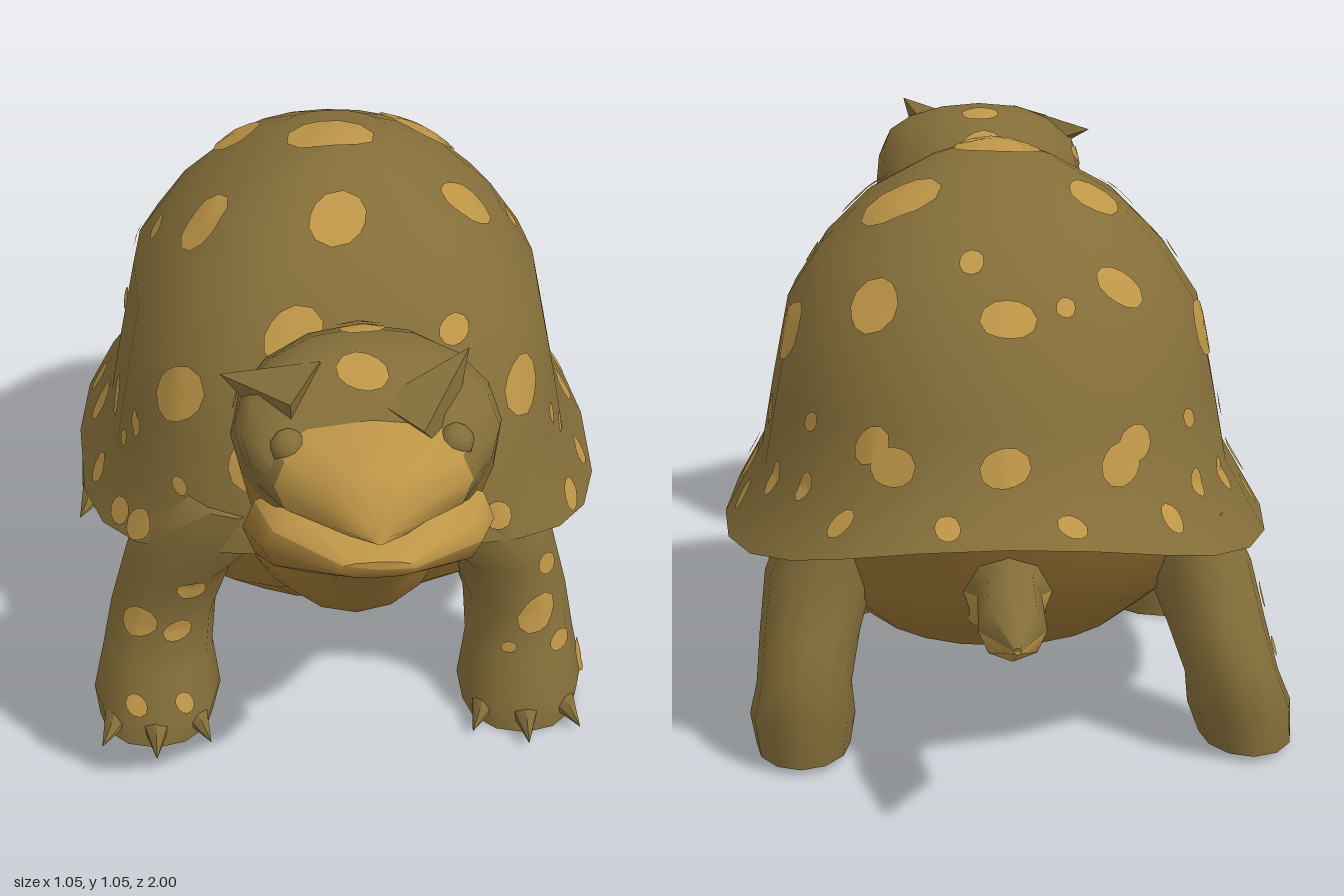
import * as THREE from 'three';
import { mergeGeometries, toCreasedNormals } from 'three/addons/utils/BufferGeometryUtils.js';

const mat = (name, color) => {
  const m = new THREE.MeshStandardMaterial({ color });
  m.name = name;
  return m;
};
const V = (x, y, z) => new THREE.Vector3(x, y, z);
const bend = (v, e) => Math.sign(v) * Math.abs(v) ** e;

export function createModel() {
  const model = new THREE.Group();
  model.name = 'tortoise';
  const olive = mat('olive', 0x846e39);
  const gold = mat('gold', 0xbd9547);
  const tan = mat('underside tan', 0x9a7534);
  const mats = [olive, gold, tan];

  // Skin a list of closed rings; pick(i, j) gives the material index of each quad
  function skin(name, rows, pick = () => 0, capStart = true, capEnd = true, crease = 1.1) {
    const n = rows[0].length, pos = [], buckets = [[], [], []];
    rows.forEach(r => r.forEach(p => pos.push(p.x, p.y, p.z)));
    const id = (i, j) => i * n + (j % n);
    for (let i = 0; i < rows.length - 1; i++) for (let j = 0; j < n; j++) {
      buckets[pick(i, j)].push(id(i, j), id(i + 1, j), id(i, j + 1),
        id(i + 1, j), id(i + 1, j + 1), id(i, j + 1));
    }
    const cap = (i, end) => {
      const c = rows[i].reduce((s, p) => s.add(p), V(0, 0, 0)).divideScalar(n);
      const k = pos.length / 3;
      pos.push(c.x, c.y, c.z);
      for (let j = 0; j < n; j++) {
        const q = buckets[pick(end ? i - 1 : i, j)];
        if (end) q.push(k, id(i, j + 1), id(i, j));
        else q.push(k, id(i, j), id(i, j + 1));
      }
    };
    if (capStart) cap(0, false);
    if (capEnd) cap(rows.length - 1, true);
    const g = new THREE.BufferGeometry();
    g.setAttribute('position', new THREE.Float32BufferAttribute(pos, 3));
    g.setIndex(buckets.flat());
    let start = 0;
    buckets.forEach((b, i) => {
      if (b.length) g.addGroup(start, b.length, i);
      start += b.length;
    });
    const mesh = new THREE.Mesh(toCreasedNormals(g, crease), mats);
    mesh.name = name;
    model.add(mesh);
    return mesh;
  }

  // Oval ring spanning a front point (z, y) and a back point (z, y); e below 1 squares it
  const oval = ([x, hw, zA, yA, zB, yB], n = 12, e = 1) => Array.from({ length: n }, (_, j) => {
    const a = j / n * Math.PI * 2, c = bend(Math.cos(a), e), s = bend(Math.sin(a), e);
    return V(x + hw * c, (yA + yB) / 2 + s * (yA - yB) / 2, (zA + zB) / 2 + s * (zA - zB) / 2);
  });

  // Shell outline: squarer at the front, rounder behind, lifted at both ends
  const outline = ([y, hw, zf, zb, lift]) => Array.from({ length: 24 }, (_, j) => {
    const a = j / 24 * Math.PI * 2, e = Math.sin(a) > 0 ? 0.74 : 0.94;
    const x = bend(Math.cos(a), e), w = bend(Math.sin(a), e);
    return V(0.01 + hw * x, y + lift * Math.abs(w) ** 3, (zf + zb) / 2 + w * (zf - zb) / 2);
  });

  // Spots: small discs laid on a surface, aimed along a view axis
  const aim = { right: (a, b) => [V(3, b, a), V(-1, 0, 0)], left: (a, b) => [V(-3, b, a), V(1, 0, 0)],
    top: (a, b) => [V(a, 3, b), V(0, -1, 0)], front: (a, b) => [V(a, b, 3), V(0, 0, -1)],
    back: (a, b) => [V(a, b, -3), V(0, 0, 1)] };
  function spots(name, target, side, list) {
    const ray = new THREE.Raycaster(), parts = [], n = 12;
    const cast = (o, d) => { ray.set(o, d); return ray.intersectObject(target)[0]; };
    list.forEach(([a, b, r], k) => {
      const hit = cast(...aim[side](a, b));
      if (!hit) return;
      const nrm = hit.face.normal.clone();
      const t = V(0, 1, 0.3).cross(nrm).normalize(), u = nrm.clone().cross(t);
      const pos = [], idx = [];
      const put = q => {
        const h = cast(q.clone().addScaledVector(nrm, 0.1), nrm.clone().negate());
        const p = (h && h.distance < 0.2 ? h.point : q).clone().addScaledVector(nrm, 0.006);
        pos.push(p.x, p.y, p.z);
      };
      put(hit.point);
      for (const f of [0.5, 1]) for (let j = 0; j < n; j++) {
        const w = j / n * Math.PI * 2, rr = r * f * (1 + 0.13 * Math.sin(2 * w + k));
        put(hit.point.clone().addScaledVector(t, rr * Math.cos(w)).addScaledVector(u, rr * Math.sin(w)));
      }
      for (let j = 0; j < n; j++) {
        const j1 = (j + 1) % n, A = 1 + j, B = 1 + j1, C = A + n, D = B + n;
        idx.push(0, A, B, A, C, D, A, D, B);
      }
      const g = new THREE.BufferGeometry();
      g.setAttribute('position', new THREE.Float32BufferAttribute(pos, 3));
      g.setIndex(idx);
      g.computeVertexNormals();
      parts.push(g);
    });
    if (!parts.length) return;
    const mesh = new THREE.Mesh(mergeGeometries(parts), gold);
    mesh.name = name;
    model.add(mesh);
  }

  // Shell dome, its turned-under lip and the belly
  const rim = [0.36, 0.515, 0.48, -0.77, 0.11];
  const shell = skin('shell', [rim, [0.48, 0.445, 0.475, -0.675, 0.06], [0.62, 0.42, 0.445, -0.635, 0.01],
    [0.77, 0.39, 0.375, -0.57, 0], [0.87, 0.325, 0.3, -0.475, 0], [0.955, 0.24, 0.215, -0.375, 0],
    [1.025, 0.12, 0.07, -0.22, 0], [1.052, 0.03, 0.01, -0.06, 0]].map(outline), undefined, false, true, 1.3);
  skin('shellLip', [[0.37, 0.42, 0.42, -0.68, 0.09], rim].map(outline), (i, j) => (j % 5 < 2 ? 1 : 2), false, false);
  skin('belly', [[0.168, 0.12, 0.12, -0.32, 0], [0.195, 0.26, 0.24, -0.47, 0], [0.29, 0.37, 0.37, -0.62, 0.02],
    [0.4, 0.43, 0.43, -0.69, 0.08]].map(outline), () => 2, true, false, 1.4);

  const flank = [[-0.07, 0.705, 0.025], [-0.25, 0.735, 0.06],
    [-0.085, 0.85, 0.025], [-0.23, 0.58, 0.03], [0.04, 0.55, 0.04], [0.22, 0.59, 0.02], [0.16, 0.53, 0.018],
    [0.26, 0.43, 0.03], [0.1, 0.425, 0.03], [-0.11, 0.45, 0.04], [-0.25, 0.42, 0.03],
    [-0.36, 0.48, 0.03], [-0.475, 0.5, 0.025], [-0.57, 0.6, 0.035], [-0.44, 0.61, 0.02]];
  spots('shellSpotsRight', shell, 'right', flank);
  spots('shellSpotsLeft', shell, 'left', flank);
  spots('shellSpotsTop', shell, 'top', [[-0.17, -0.22, 0.058], [0.185, -0.235, 0.075], [0, -0.06, 0.075],
    [-0.24, 0.06, 0.058], [0.25, 0.04, 0.058], [0, 0.16, 0.058], [-0.09, 0.32, 0.055], [0.2, 0.3, 0.03],
    [0, -0.53, 0.045], [-0.2, -0.42, 0.045], [0.23, -0.44, 0.055], [0.06, -0.44, 0.025], [-0.1, -0.5, 0.02]]);
  spots('shellSpotsFront', shell, 'front', [[-0.3, 0.705, 0.058], [0.33, 0.695, 0.055],
    [-0.3, 0.55, 0.018], [0.275, 0.5, 0.03], [-0.38, 0.595, 0.018], [-0.17, 0.63, 0.05], [-0.38, 0.44, 0.035]]);
  spots('shellSpotsBack', shell, 'back', [[-0.19, 0.57, 0.04], [0.01, 0.58, 0.04], [0.2, 0.57, 0.04],
    [-0.1, 0.49, 0.025], [0.11, 0.49, 0.025], [-0.28, 0.47, 0.028], [0.29, 0.47, 0.028]]);

  // Neck and skull: each ring runs from throat to nape
  const head = skin('neckAndHead', [[0.2, 0.4, 0.3, 0.24, 0.58], [0.165, 0.53, 0.37, 0.36, 0.63],
    [0.13, 0.62, 0.46, 0.43, 0.63], [0.12, 0.7, 0.56, 0.455, 0.65], [0.18, 0.78, 0.63, 0.445, 0.75],
    [0.21, 0.83, 0.69, 0.45, 0.85], [0.225, 0.86, 0.76, 0.52, 0.97], [0.22, 0.87, 0.8, 0.62, 1.02],
    [0.21, 0.88, 0.825, 0.71, 1.03], [0.17, 0.885, 0.84, 0.8, 0.985]].map(r => oval([0.01, ...r], 16)),
  (i, j) => (j > 0 && j < 7 && i < 6 ? 2 : 0));
  spots('headSpots', head, 'top', [[0.01, 0.52, 0.04], [0.01, 0.62, 0.035], [0.0, 0.75, 0.04]]);
  spots('cheekSpotsLeft', head, 'left', [[0.56, 0.87, 0.04], [0.66, 0.92, 0.025]]);

  // Beak with a gold bridge and olive sides; jaw close below
  skin('beak', [[0.205, 0.8, 0.79, 0.77, 0.97], [0.16, 0.89, 0.81, 0.86, 0.95], [0.08, 0.96, 0.83, 0.94, 0.945],
    [0.015, 1.0, 0.845, 0.975, 0.9]].map(r => oval([0.01, ...r], 12, 0.8)), (i, j) => (i === 0 && (j < 1 || j > 10 || j === 5 || j === 6) ? 0 : 1));
  skin('lowerJaw', [[0.21, 0.76, 0.64, 0.79, 0.83], [0.18, 0.86, 0.695, 0.87, 0.81],
    [0.06, 0.96, 0.755, 0.96, 0.785]].map(r => oval([0.01, ...r], 12, 0.7)), (i, j) => (j > 6 ? 1 : 2));

  // Sharp brow ridges and the eyes tucked below them
  const brows = [[V(-0.23, 0.975, 0.68), V(-0.8, 0.1, -0.45)], [V(0.175, 1.04, 0.73), V(0.55, 0.6, -0.4)]];
  for (const [tip, dir] of brows) {
    dir.normalize();
    const brow = new THREE.Mesh(toCreasedNormals(new THREE.ConeGeometry(0.075, 0.16, 4), 0.5), olive);
    brow.name = 'brow';
    brow.position.copy(tip).addScaledVector(dir, -0.08);
    brow.quaternion.setFromUnitVectors(V(0, 1, 0), dir);
    const eye = new THREE.Mesh(new THREE.SphereGeometry(0.03, 10, 8), olive);
    eye.name = 'eye';
    eye.position.set(0.01 + Math.sign(tip.x) * 0.135, 0.925, 0.83);
    model.add(brow, eye);
  }

  // Tail, darker above and gold beneath
  skin('tail', [[0.09, -0.58, 0.43, -0.58, 0.25], [0.055, -0.72, 0.42, -0.7, 0.32], [0.058, -0.82, 0.4, -0.83, 0.295],
    [0.006, -0.995, 0.378, -0.995, 0.366]].map(r => oval([0.005, ...r], 8)), (i, j) => (j < 4 ? 0 : 1));

  // Legs rise ring by ring from the sole; columns: x, half width, front z, y, back z, y
  const foreRows = [[0.345, 0.11, 0.45, 0.008, 0.22, 0.008], [0.345, 0.122, 0.445, 0.06, 0.21, 0.08],
    [0.345, 0.105, 0.405, 0.14, 0.195, 0.17], [0.335, 0.1, 0.39, 0.24, 0.175, 0.25],
    [0.3, 0.105, 0.4, 0.35, 0.15, 0.38], [0.25, 0.12, 0.44, 0.43, 0.17, 0.47], [0.2, 0.1, 0.45, 0.53, 0.2, 0.56]];
  const hindRows = [[0.37, 0.085, -0.36, 0.02, -0.62, 0.02], [0.37, 0.095, -0.38, 0.07, -0.63, 0.1],
    [0.365, 0.085, -0.44, 0.13, -0.63, 0.18], [0.355, 0.09, -0.38, 0.22, -0.6, 0.25],
    [0.335, 0.1, -0.34, 0.32, -0.57, 0.36], [0.31, 0.09, -0.34, 0.44, -0.56, 0.44]];
  function leg(name, rows, s, splay, dz = 0) {
    const placed = rows.map(([x, hw, zA, yA, zB, yB], i) =>
      [s * (x + splay * Math.max(0, 1 - i / 5)), hw, zA + dz, yA, zB + dz, yB]);
    const mesh = skin(name, placed.map(r => oval(r, 12)));
    const [x, hw, z] = placed[0];
    // Broad pointed toes
    for (let k = -1; k <= 1; k++) {
      const toe = new THREE.Mesh(new THREE.ConeGeometry(0.055, 0.15, 6).rotateX(Math.PI / 2), olive);
      toe.name = 'toe';
      toe.scale.y = 0.8;
      toe.position.set(x + k * hw * 0.68, 0.045, z - 0.02 - Math.abs(k) * 0.035);
      toe.rotation.set(0.3, k * 0.4, 0);
      model.add(toe);
    }
    return mesh;
  }
  const foreL = leg('frontLegLeft', foreRows, 1, 0);
  const foreR = leg('frontLegRight', foreRows, -1, 0.02);
  const hindL = leg('backLegLeft', hindRows, 1, 0);
  const hindR = leg('backLegRight', hindRows, -1, 0.07, 0.03);
  spots('legSpots', foreL, 'front', [[0.365, 0.245, 0.04], [0.315, 0.175, 0.014], [0.41, 0.17, 0.024], [0.38, 0.34, 0.025]]);
  spots('legSpots', foreR, 'front', [[-0.39, 0.255, 0.035], [-0.32, 0.24, 0.026], [-0.29, 0.34, 0.025],
    [-0.4, 0.09, 0.022], [-0.31, 0.09, 0.02]]);
  spots('legSpots', foreL, 'right', [[0.33, 0.1, 0.03]]);
  spots('legSpots', hindR, 'left', [[-0.45, 0.28, 0.025], [-0.51, 0.2, 0.02]]);
  return model;
}
